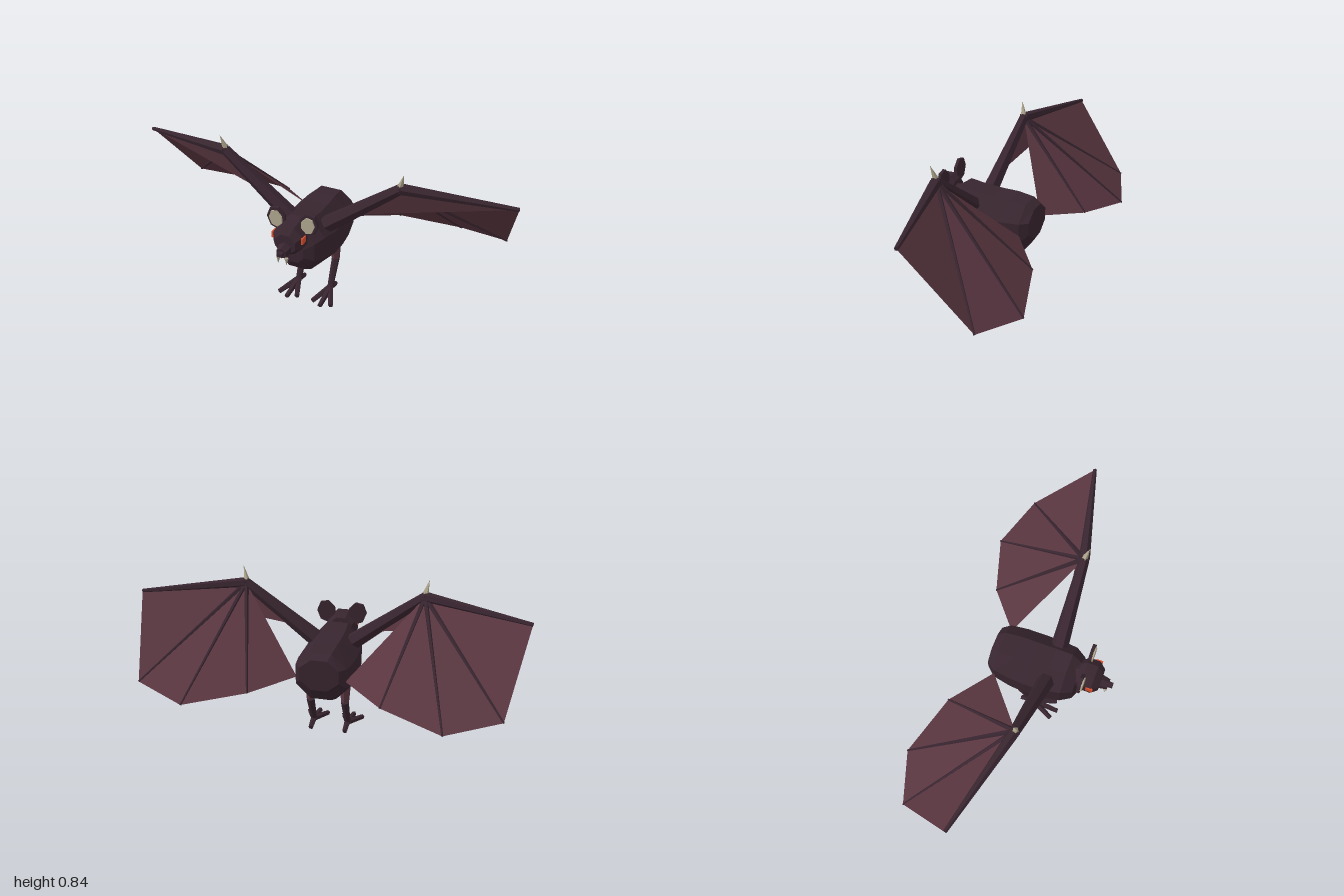
import * as THREE from 'three';

const mat = (name, color, extra = {}) => {
  const m = new THREE.MeshStandardMaterial({ color, ...extra });
  m.name = name;
  return m;
};

export function createModel() {
  const fur = mat('dark fur', 0x38252f);
  const skin = mat('wing membrane', 0x593640, { side: THREE.DoubleSide });
  const ivory = mat('ivory', 0xb0a78e);
  const ember = mat('ember eye', 0xd9502f);

  const model = new THREE.Group();
  model.name = 'bat';
  const V = (x, y, z) => new THREE.Vector3(x, y, z);

  // Adds a faceted mesh
  const add = (parent, name, geo, material) => {
    const g = geo.index ? geo.toNonIndexed() : geo;
    g.computeVertexNormals();
    const mesh = new THREE.Mesh(g, material);
    mesh.name = name;
    parent.add(mesh);
    return mesh;
  };

  // Tapered rod between two points
  const rod = (parent, name, a, b, ra, rb, sides, material) => {
    const d = b.clone().sub(a);
    const mesh = add(parent, name, new THREE.CylinderGeometry(rb, ra, d.length(), sides), material);
    mesh.position.copy(a).add(b).multiplyScalar(0.5);
    mesh.quaternion.setFromUnitVectors(V(0, 1, 0), d.normalize());
    return mesh;
  };

  const triangles = (list) => new THREE.BufferGeometry().setFromPoints(list);

  // Octagonal loft, stations run front to back: [z, centreY, halfHeight, halfWidth]
  const loft = (stations) => {
    const n = 8, c = Math.cos(Math.PI / n), pts = [];
    const p = (i, k) => {
      const [z, y, h, w] = stations[i];
      const a = ((k + 0.5) / n) * Math.PI * 2;
      return V((Math.cos(a) * w) / c, y + (Math.sin(a) * h) / c, z);
    };
    const last = stations.length - 1;
    const mid = (i) => V(0, stations[i][1], stations[i][0]);
    for (let k = 0; k < n; k++) {
      pts.push(mid(0), p(0, k), p(0, k + 1), mid(last), p(last, k + 1), p(last, k));
      for (let i = 0; i < last; i++) {
        pts.push(p(i, k), p(i + 1, k), p(i + 1, k + 1), p(i, k), p(i + 1, k + 1), p(i, k + 1));
      }
    }
    return triangles(pts);
  };

  // Body, neck and head
  add(model, 'body', loft([
    [0.28, 0.38, 0.06, 0.05], [0.255, 0.388, 0.113, 0.1], [0.2, 0.39, 0.148, 0.13],
    [0.11, 0.372, 0.152, 0.143], [0.015, 0.367, 0.152, 0.145], [-0.07, 0.373, 0.147, 0.142],
    [-0.16, 0.385, 0.125, 0.13], [-0.2, 0.405, 0.08, 0.1],
  ]), fur);
  rod(model, 'neck', V(0, 0.44, 0.2), V(0, 0.465, 0.28), 0.07, 0.06, 8, fur);
  add(model, 'head', loft([
    [0.372, 0.48, 0.05, 0.052], [0.34, 0.488, 0.073, 0.077],
    [0.285, 0.488, 0.075, 0.077], [0.255, 0.48, 0.06, 0.06],
  ]), fur);

  // Snout and nose
  rod(model, 'snout', V(0, 0.458, 0.35), V(0, 0.453, 0.412), 0.04, 0.028, 6, fur);
  add(model, 'nose', new THREE.BoxGeometry(0.026, 0.018, 0.04), fur).position.set(0, 0.456, 0.415);

  for (const s of [1, -1]) {
    const side = s > 0 ? 'left' : 'right';
    const P = (x, y, z) => V(s * x, y, z);

    // Ear with pale inner face, eye and fang
    const ear = new THREE.Group();
    ear.name = side + 'Ear';
    ear.position.set(s * 0.084, 0.563, 0.287);
    ear.rotation.z = -s * 0.2;
    model.add(ear);
    const disc = (name, rx, ry, depth, z, material) => {
      const g = new THREE.CylinderGeometry(1, 1, depth, 7).rotateX(Math.PI / 2).scale(rx, ry, 1);
      add(ear, name, g, material).position.z = z;
    };
    disc('outerEar', 0.05, 0.062, 0.016, 0, fur);
    disc('innerEar', 0.036, 0.046, 0.008, 0.011, ivory);
    add(model, side + 'Eye', new THREE.BoxGeometry(0.009, 0.032, 0.036), ember)
      .position.set(s * 0.078, 0.503, 0.332);
    rod(model, side + 'Fang', P(0.022, 0.426, 0.402), P(0.022, 0.388, 0.405), 0.011, 0, 4, ivory);

    // Wing skeleton
    const wing = new THREE.Group();
    wing.name = side + 'Wing';
    model.add(wing);
    const wrist = P(0.465, 0.752, 0.098);
    const tip = P(0.992, 0.705, -0.03);
    const ends = [P(0.905, 0.33, -0.33), P(0.64, 0.28, -0.43), P(0.33, 0.333, -0.33)];
    const hip = P(0.125, 0.37, -0.16);
    rod(wing, 'upperArm', P(0.09, 0.465, 0.115), wrist, 0.045, 0.026, 6, fur);
    rod(wing, 'forearm', wrist, tip, 0.028, 0.01, 6, fur);
    add(wing, 'wristJoint', new THREE.IcosahedronGeometry(0.028, 0), fur).position.copy(wrist);
    rod(wing, 'wristClaw', P(0.465, 0.768, 0.1), P(0.482, 0.838, 0.116), 0.016, 0, 5, ivory);
    for (const e of ends) rod(wing, 'finger', wrist, e, 0.013, 0.005, 5, fur);

    // Membrane fan and the web in front of the elbow
    const rim = [tip, ...ends, hip];
    const fan = [];
    for (let i = 0; i < rim.length - 1; i++) fan.push(wrist, rim[i], rim[i + 1]);
    fan.push(wrist, P(0.21, 0.545, 0.095), tip);
    // keep corner order consistent on both sides
    if (s < 0) for (let i = 0; i < fan.length; i += 3) [fan[i + 1], fan[i + 2]] = [fan[i + 2], fan[i + 1]];
    add(wing, 'membrane', triangles(fan), skin);

    // Leg and clawed foot
    const leg = new THREE.Group();
    leg.name = side + 'Leg';
    model.add(leg);
    const ankle = P(0.092, 0.038, 0.045);
    rod(leg, 'thigh', P(0.092, 0.305, -0.014), P(0.092, 0.188, -0.02), 0.031, 0.022, 6, skin);
    rod(leg, 'shin', P(0.092, 0.19, -0.025), ankle, 0.021, 0.016, 6, fur);
    for (const [x, z] of [[0.045, 0.165], [0.095, 0.188], [0.148, 0.165], [0.092, -0.024]]) {
      rod(leg, 'toe', ankle, P(x, 0.015, z), 0.017, 0.013, 5, fur);
    }
  }
  return model;
}
